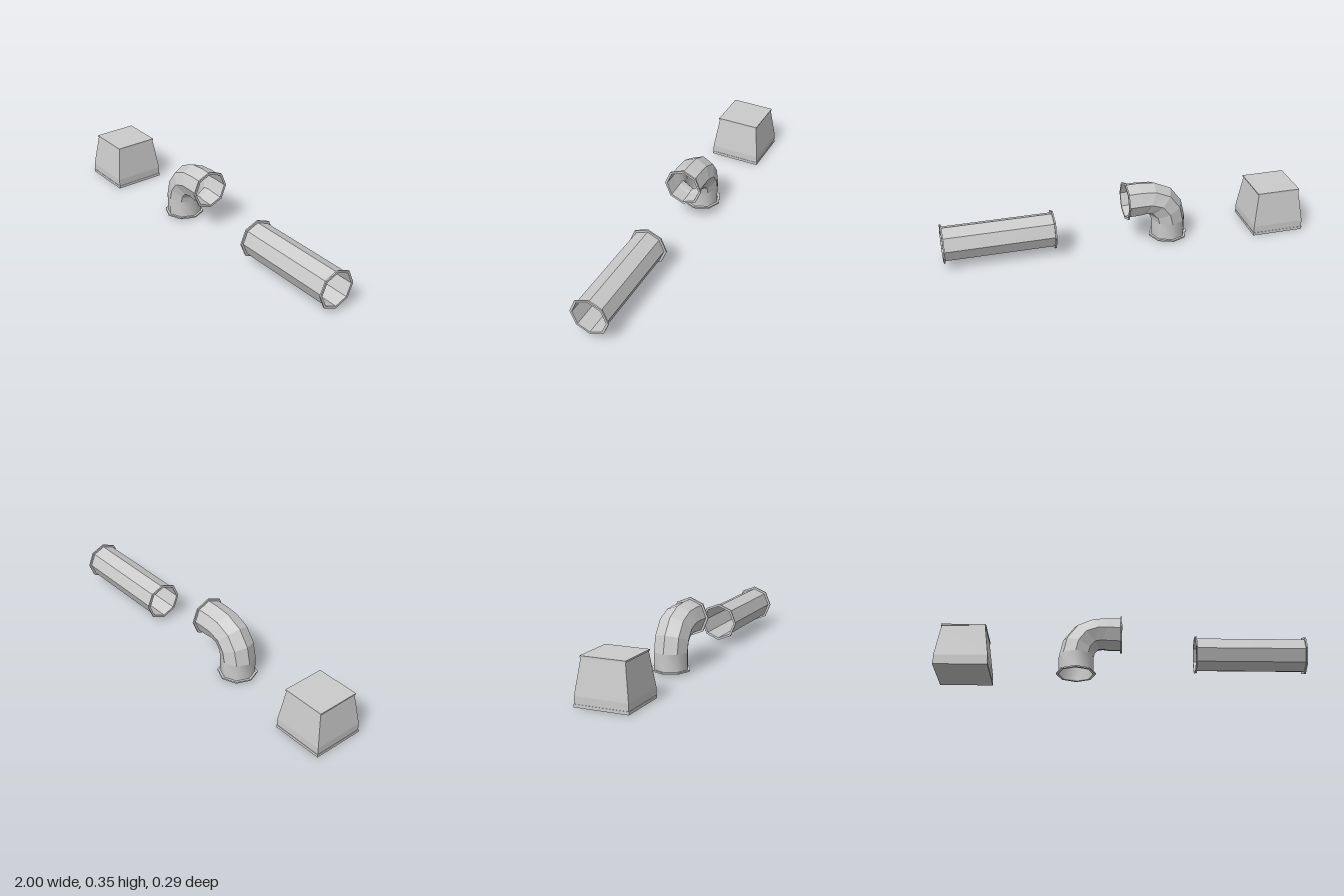
import * as THREE from 'three';

const SIDES = 8;
const TUBE_R = 0.095;
const FLANGE_R = 0.108;
const FLANGE_T = 0.008;

const flat = new THREE.MeshStandardMaterial({ color: 0xcccccc, flatShading: true });
const flatShell = new THREE.MeshStandardMaterial({ color: 0xcccccc, flatShading: true, side: THREE.DoubleSide });
const smoothShell = new THREE.MeshStandardMaterial({ color: 0xcccccc, side: THREE.DoubleSide });

function part(name, geometry, material) {
  const mesh = new THREE.Mesh(geometry, material);
  mesh.name = name;
  return mesh;
}

// Open octagonal tube through rings [x, y, angle of the path in the xy plane]
function tube(rings) {
  const positions = [];
  const indices = [];
  rings.forEach(([x, y, angle]) => {
    for (let i = 0; i < SIDES; i++) {
      const a = (i / SIDES) * Math.PI * 2;
      const across = TUBE_R * Math.cos(a);
      positions.push(x - Math.sin(angle) * across, y + Math.cos(angle) * across, TUBE_R * Math.sin(a));
    }
  });
  for (let r = 0; r < rings.length - 1; r++) {
    for (let i = 0; i < SIDES; i++) {
      const a = r * SIDES + i;
      const b = r * SIDES + ((i + 1) % SIDES);
      indices.push(a, a + SIDES, b, b, a + SIDES, b + SIDES);
    }
  }
  const geometry = new THREE.BufferGeometry();
  geometry.setAttribute('position', new THREE.Float32BufferAttribute(positions, 3));
  geometry.setIndex(indices);
  geometry.computeVertexNormals();
  return geometry;
}

// Octagonal ring with an open middle, extruded along +z
function flangeGeometry() {
  const octagon = (r) => Array.from({ length: SIDES }, (_, i) => {
    const a = (i / SIDES) * Math.PI * 2;
    return new THREE.Vector2(r * Math.cos(a), r * Math.sin(a));
  });
  const shape = new THREE.Shape(octagon(FLANGE_R));
  shape.holes.push(new THREE.Path(octagon(TUBE_R)));
  return new THREE.ExtrudeGeometry(shape, { depth: FLANGE_T, bevelEnabled: false });
}

function createBase() {
  // Square profile [half width, height] turned in four steps
  const profile = [
    [0, 0], [0.145, 0], [0.145, 0.016], [0.143, 0.016], [0.143, 0.055],
    [0.117, 0.238], [0.121, 0.238], [0.121, 0.246], [0, 0.246],
  ].map(([w, y]) => new THREE.Vector2(w * Math.SQRT2, y));
  const geometry = new THREE.LatheGeometry(profile, 4);
  geometry.rotateY(Math.PI / 4);
  const base = part('taperedBase', geometry, flat);
  base.position.x = -0.855;
  return base;
}

function createElbow() {
  const elbow = new THREE.Group();
  elbow.name = 'elbowPipe';
  const up = Math.PI / 2;

  // Smooth upright collar, then the faceted bend
  elbow.add(part('elbowCollar', tube([[-0.249, 0.01, up], [-0.249, 0.11, up]]), smoothShell));
  elbow.add(part('elbowBend', tube([
    [-0.249, 0.11, up],
    [-0.235, 0.171, up * 0.75],
    [-0.193, 0.225, up * 0.5],
    [-0.131, 0.247, up * 0.25],
    [-0.075, 0.248, 0],
    [-0.002, 0.246, 0],
  ]), flatShell));

  const bottom = part('elbowBottomFlange', flangeGeometry(), flat);
  bottom.rotation.x = -Math.PI / 2;
  bottom.position.set(-0.249, 0.008, 0);
  const end = part('elbowEndFlange', flangeGeometry(), flat);
  end.rotation.y = Math.PI / 2;
  end.position.set(-FLANGE_T, 0.245, 0);
  elbow.add(bottom, end);
  return elbow;
}

function createStraightPipe() {
  const pipe = new THREE.Group();
  pipe.name = 'straightPipe';
  const y = 0.13;
  pipe.add(part('pipeBody', tube([0.402, 0.5, 0.695, 0.89, 0.998].map((x) => [x, y, 0])), flatShell));
  [0.398, 1 - FLANGE_T].forEach((x) => {
    const flange = part('pipeFlange', flangeGeometry(), flat);
    flange.rotation.y = Math.PI / 2;
    flange.position.set(x, y, 0);
    pipe.add(flange);
  });
  return pipe;
}

export function createModel() {
  const model = new THREE.Group();
  model.name = 'pipeSet';
  model.add(createBase(), createElbow(), createStraightPipe());
  return model;
}
